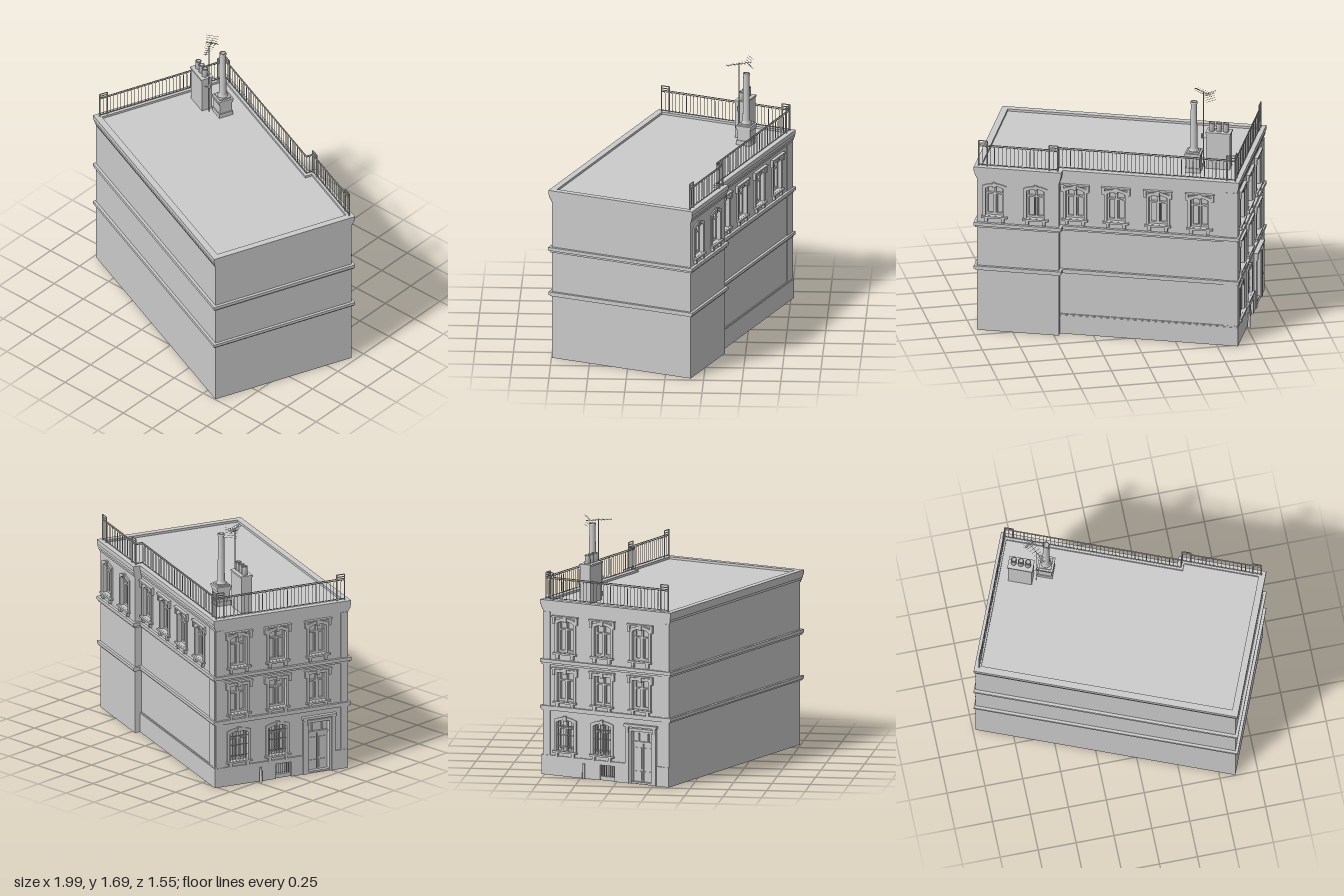
import * as THREE from 'three';
import { mergeGeometries } from 'three/addons/utils/BufferGeometryUtils.js';

const grey = new THREE.MeshStandardMaterial({ color: 0xcccccc, side: THREE.DoubleSide });

function add(parent, name, geo, x = 0, y = 0, z = 0) {
  const m = new THREE.Mesh(geo, grey);
  m.name = name;
  m.position.set(x, y, z);
  parent.add(m);
  return m;
}
const box = (p, name, w, h, d, x, y, z) => add(p, name, new THREE.BoxGeometry(w, h, d), x, y, z);

function group(parent, name, x = 0, y = 0, z = 0, ry = 0) {
  const g = new THREE.Group();
  g.name = name;
  g.position.set(x, y, z);
  g.rotation.y = ry;
  parent.add(g);
  return g;
}

// Thin round bar between two points
function barGeo(a, b, r = 0.002) {
  const p = new THREE.Vector3(...a), q = new THREE.Vector3(...b), d = q.clone().sub(p);
  const g = new THREE.CylinderGeometry(r, r, d.length(), 5);
  g.applyQuaternion(new THREE.Quaternion().setFromUnitVectors(new THREE.Vector3(0, 1, 0), d.normalize()));
  const c = p.add(q).multiplyScalar(0.5);
  return g.translate(c.x, c.y, c.z);
}

// Footprint of the house with its stepped back, grown by d
const outline = (d, x0 = -0.862) => [
  [x0 - d, -0.468 - d], [0.298 - d, -0.468 - d], [0.298 - d, -0.516 - d],
  [0.837 + d, -0.516 - d], [0.837 + d, 0.468 + d], [x0 - d, 0.468 + d],
];
const toPts = (a) => a.map(([x, z]) => new THREE.Vector2(x, -z));

function prism(parent, name, pts, y0, y1, hole) {
  const s = new THREE.Shape(toPts(pts));
  if (hole) s.holes.push(new THREE.Path(toPts(hole)));
  const g = new THREE.ExtrudeGeometry(s, { depth: y1 - y0, bevelEnabled: false });
  return add(parent, name, g.rotateX(-Math.PI / 2), 0, y0, 0);
}

// Opening with an optional segmental arch, bottom centre at (x, y)
function opening(x, y, w, h, rise, Type = THREE.Path) {
  const s = new Type();
  s.moveTo(x - w / 2, y);
  s.lineTo(x + w / 2, y);
  s.lineTo(x + w / 2, y + h - rise);
  if (rise) s.quadraticCurveTo(x, y + h + rise, x - w / 2, y + h - rise);
  else s.lineTo(x - w / 2, y + h);
  s.closePath();
  return s;
}

// Wall panel whose outer face lies at z = 0, pierced by openings
function panel(parent, name, x0, x1, y0, y1, holes) {
  const s = new THREE.Shape([[x0, y0], [x1, y0], [x1, y1], [x0, y1]].map((p) => new THREE.Vector2(...p)));
  holes.forEach((o) => s.holes.push(opening(o.x, o.y, o.w, o.h, o.rise)));
  add(parent, name, new THREE.ExtrudeGeometry(s, { depth: 0.04, bevelEnabled: false }), 0, 0, -0.04);
}

function surround(g, o, t, depth, z) {
  const s = opening(0, 0, o.w + t * 2, o.h + t, o.rise, THREE.Shape);
  s.holes.push(opening(0, 0.001, o.w, o.h - 0.001, o.rise));
  add(g, 'surround', new THREE.ExtrudeGeometry(s, { depth, bevelEnabled: false, curveSegments: 8 }), 0, 0, z);
}

function addWindow(parent, o) {
  const g = group(parent, 'window', o.x, o.y, 0);
  const { w, h } = o;
  surround(g, o, 0.018, 0.009, 0);
  // Casements: pane, outer frame, mullion and transom
  add(g, 'pane', new THREE.ShapeGeometry(opening(0, 0, w, h, o.rise, THREE.Shape)), 0, 0, -0.034);
  for (const s of [-1, 1]) {
    box(g, 'jamb', 0.012, h - o.rise, 0.014, s * (w / 2 - 0.006), (h - o.rise) / 2, -0.026);
    box(g, 'stile', 0.007, h * 0.7, 0.014, s * 0.012, h * 0.35, -0.026);
    box(g, 'sillBracket', 0.02, 0.03, 0.016, s * (w / 2 - 0.005), -0.026, 0.008);
    box(g, 'bottomRail', w / 2 - 0.01, 0.014, 0.014, s * w / 4, 0.007, -0.026);
  }
  box(g, 'mullion', 0.012, h * 0.95, 0.018, 0, h * 0.475, -0.025);
  box(g, 'transom', w, 0.01, 0.018, 0, h * 0.72, -0.025);
  box(g, 'sill', w + 0.05, 0.012, 0.024, 0, -0.006, 0.01);
  box(g, 'keystone', 0.02, 0.034, 0.016, 0, h + 0.008, 0.007);
  if (o.hood) {
    box(g, 'hood', w + 0.07, 0.01, 0.022, 0, h + 0.027, 0.011);
    for (const s of [-1, 1]) box(g, 'console', 0.018, 0.042, 0.016, s * (w / 2 + 0.024), h + 0.001, 0.008);
  }
  if (o.grille) {
    for (let i = -3; i <= 3; i++) add(g, 'grilleBar', barGeo([i * w / 7, 0, -0.008], [i * w / 7, h - 0.012, -0.008]));
    for (const f of [0.15, 0.5, 0.8]) box(g, 'grilleRail', w, 0.005, 0.004, 0, h * f, -0.008);
  }
}

function addDoor(parent, o) {
  const g = group(parent, 'door', o.x, o.y, 0);
  surround(g, o, 0.018, 0.01, 0);
  box(g, 'doorBack', o.w, o.h, 0.006, 0, o.h / 2, -0.036);
  for (const s of [-1, 1]) {
    box(g, 'doorLeaf', o.w / 2 - 0.008, 0.26, 0.01, s * o.w / 4, 0.13, -0.029);
    for (const [y, h] of [[0.05, 0.06], [0.165, 0.14]]) box(g, 'doorPanel', 0.05, h, 0.008, s * o.w / 4, y, -0.023);
    box(g, 'doorPilaster', 0.026, 0.36, 0.018, s * (o.w / 2 + 0.026), 0.18, 0.008);
    box(g, 'canopyBracket', 0.022, 0.04, 0.024, s * (o.w / 2 + 0.026), 0.355, 0.012);
    box(g, 'fanlightBar', 0.008, 0.06, 0.012, s * 0.035, 0.3, -0.028);
  }
  box(g, 'doorTransom', o.w, 0.014, 0.02, 0, 0.268, -0.026);
  box(g, 'canopy', o.w + 0.09, 0.018, 0.028, 0, 0.383, 0.013);
  box(g, 'doorStep', o.w, 0.012, 0.04, 0, 0.006, -0.018);
}

// Iron railing from (x0,z0) to (x1,z1) with raised frames at chosen ends
function addRailing(parent, [x0, z0], [x1, z1], startFrame, endFrame) {
  const L = Math.hypot(x1 - x0, z1 - z0), geos = [];
  const n = Math.round(L / 0.025 / 2) * 2, p = L / n;
  for (const y of [1.16, 1.288, 1.297]) geos.push(barGeo([0, y, 0], [L, y, 0], 0.003));
  for (let i = 0; i <= n; i++) geos.push(barGeo([i * p, 1.172, 0], [i * p, 1.275, 0]));
  // Arches join the bars alternately at top and bottom
  for (let i = 0; i < n; i++) {
    const a = new THREE.TorusGeometry(p / 2, 0.002, 4, 6, Math.PI);
    if (i % 2) a.rotateX(Math.PI);
    geos.push(a.translate((i + 0.5) * p, i % 2 ? 1.172 : 1.275, 0));
  }
  for (const a of [startFrame && 0, endFrame && L - 0.055]) {
    if (typeof a !== 'number') continue;
    for (const x of [a, a + 0.055]) geos.push(barGeo([x, 1.14, 0], [x, 1.326, 0], 0.0045));
    for (const y of [1.31, 1.326]) geos.push(barGeo([a, y, 0], [a + 0.055, y, 0], 0.0035));
  }
  const m = add(parent, 'railing', mergeGeometries(geos.map((g) => g.toNonIndexed())), x0, 0, z0);
  m.rotation.y = Math.atan2(z0 - z1, x1 - x0);
}

export function createModel() {
  const root = new THREE.Group();
  root.name = 'townHouse';
  const house = group(root, 'house', 0, 0, 0, -0.383);

  // Hollow ground storey, solid middle storey, inset core of the top storey
  prism(house, 'groundWalls', outline(0, -0.776), 0, 0.43, outline(-0.01, -0.776));
  for (const s of [-1, 1]) box(house, 'endWall', 0.05, 0.43, 0.01, -0.799, 0.215, s * 0.463);
  prism(house, 'middleStorey', outline(0, -0.822), 0.43, 0.75);
  const core = outline(0, -0.822);
  [-0.428, -0.428, -0.476, -0.476].forEach((z, i) => { core[i][1] = z; });
  prism(house, 'topStorey', core, 0.75, 1.08);

  // String courses, cornice, roof and its raised rim
  for (const [y0, y1, d] of [[0.425, 0.435, 0.01], [0.435, 0.455, 0.018], [0.725, 0.738, 0.01], [0.738, 0.76, 0.019]])
    prism(house, 'stringCourse', outline(d), y0, y1);
  for (const [y0, y1, d] of [[1.072, 1.085, 0.004], [1.085, 1.1, 0.009], [1.1, 1.12, 0.014], [1.12, 1.135, 0.018]])
    prism(house, 'cornice', outline(d), y0, y1);
  prism(house, 'roofRim', outline(0.018), 1.135, 1.15, outline(-0.025));

  // Back walls with arched windows on the top floor
  const top = (x, hood) => ({ x, y: 0.81, w: 0.12, h: 0.21, rise: 0.018, hood });
  const backMain = group(house, 'backWall', 0, 0, -0.468, Math.PI);
  const mainWins = [-0.2, 0.07, 0.345, 0.62].map((x) => top(x, true));
  panel(backMain, 'backWallPanel', -0.298, 0.822, 0.75, 1.08, mainWins);
  const backWing = group(house, 'backWing', 0, 0, -0.516, Math.PI);
  const wingWins = [-0.72, -0.45].map((x) => top(x, false));
  panel(backWing, 'backWingPanel', -0.837, -0.298, 0.75, 1.08, wingWins);
  mainWins.forEach((o) => addWindow(backMain, o));
  wingWins.forEach((o) => addWindow(backWing, o));
  box(backMain, 'backPlinth', 1.168, 0.13, 0.01, 0.286, 0.065, 0.005);
  box(backMain, 'backPlinthCap', 1.168, 0.008, 0.007, 0.286, 0.134, 0.0035);

  // Street facade: three bays and three floors
  const facade = group(house, 'facade', -0.862, 0, 0, -Math.PI / 2);
  const bays = [-0.305, -0.03, 0.255], wins = [];
  bays.forEach((x, i) => {
    wins.push(top(x, true), { x, y: 0.49, w: 0.12, h: 0.19, rise: 0, hood: true });
    if (i < 2) wins.push({ x, y: 0.165, w: 0.13, h: 0.205, rise: 0.018, grille: true });
  });
  const door = { x: 0.262, y: 0.001, w: 0.15, h: 0.345, rise: 0 };
  const cellar = { x: 0.01, y: 0.025, w: 0.1, h: 0.075, rise: 0 };
  panel(facade, 'facadePanel', -0.468, 0.468, 0, 1.08, [...wins, door, cellar]);
  wins.forEach((o) => addWindow(facade, o));
  addDoor(facade, door);
  for (const [a, b] of [[-0.478, -0.045], [0.065, 0.15], [0.375, 0.468]])
    box(facade, 'facadePlinth', b - a, 0.13, 0.01, (a + b) / 2, 0.065, 0.005);
  box(facade, 'cellarBack', 0.1, 0.075, 0.004, 0.01, 0.0625, -0.03);
  box(facade, 'cellarHead', 0.11, 0.03, 0.01, 0.01, 0.115, 0.005);
  for (let i = -3; i <= 3; i++) box(facade, 'cellarBar', 0.004, 0.075, 0.004, 0.01 + i * 0.014, 0.0625, -0.004);
  // Corner pilasters on the facade and its return to the back
  for (const [y, h] of [[0.278, 0.295], [0.59, 0.27], [0.916, 0.312]]) {
    for (const s of [-1, 1]) box(facade, 'cornerPilaster', 0.05, h, 0.008, s * 0.443, y, 0.004);
    box(backMain, 'returnPilaster', 0.086, h, 0.006, 0.819, y, 0.003);
  }
  add(facade, 'kerbPost', new THREE.CylinderGeometry(0.008, 0.01, 0.1, 12), -0.157, 0.05, 0.024);

  // Roof railing along the facade and the back
  addRailing(house, [-0.85, 0.452], [-0.85, -0.458], true, true);
  addRailing(house, [-0.85, -0.458], [0.308, -0.458], true, false);
  addRailing(house, [0.308, -0.458], [0.308, -0.505], false, false);
  addRailing(house, [0.308, -0.505], [0.827, -0.505], true, true);

  // Brick chimney stack with three pots
  const stack = group(house, 'chimneyStack', -0.698, 0, -0.209);
  box(stack, 'stackBody', 0.155, 0.25, 0.075, 0, 1.255, 0);
  box(stack, 'stackCap', 0.165, 0.012, 0.085, 0, 1.382, 0);
  const pot = [[0, 0], [0.019, 0], [0.017, 0.05], [0.02, 0.052], [0.02, 0.058], [0.013, 0.058], [0.013, 0.03], [0, 0.03]];
  for (const x of [-0.047, 0, 0.047])
    add(stack, 'chimneyPot', new THREE.LatheGeometry(pot.map((p) => new THREE.Vector2(...p)), 16), x, 1.387, 0);

  // Tall round flue on a stepped square base
  const flue = group(house, 'flue', -0.547, 0, -0.286);
  for (const [w, y0, y1] of [[0.1, 1.13, 1.165], [0.088, 1.165, 1.235], [0.098, 1.235, 1.25], [0.105, 1.25, 1.265], [0.08, 1.265, 1.275]])
    box(flue, 'flueBase', w, y1 - y0, w, 0, (y0 + y1) / 2, 0);
  const pipe = [[0, 1.27], [0.034, 1.27], [0.034, 1.282], [0.024, 1.295], [0.02, 1.6], [0.023, 1.602], [0.023, 1.615], [0.015, 1.615], [0.015, 1.56], [0, 1.56]];
  add(flue, 'fluePipe', new THREE.LatheGeometry(pipe.map((p) => new THREE.Vector2(...p)), 20));

  // Television aerial
  const aerial = group(root, 'aerial', -0.475, 0, -0.42, 0.44);
  add(aerial, 'mast', barGeo([0, 1.13, 0], [0, 1.66, 0], 0.003));
  add(aerial, 'boom', barGeo([0, 1.652, 0.09], [0, 1.652, -0.085], 0.002));
  for (let i = 0; i < 7; i++) {
    const z = 0.08 - i * 0.022, w = 0.018 + i * 0.003;
    add(aerial, 'director', barGeo([-w, 1.652, z], [w, 1.652, z], 0.0012));
  }
  for (const s of [-1, 1]) for (let i = 0; i < 3; i++) {
    const y = 1.652 + s * (0.008 + i * 0.012), z = -0.065 - i * 0.009;
    add(aerial, 'reflector', barGeo([-0.04, y, z], [0.04, y, z], 0.0012));
  }
  box(aerial, 'amplifier', 0.014, 0.03, 0.012, 0.004, 1.345, 0.008);
  add(aerial, 'bracket', barGeo([0, 1.33, 0], [-0.03, 1.33, 0], 0.002));
  return root;
}
